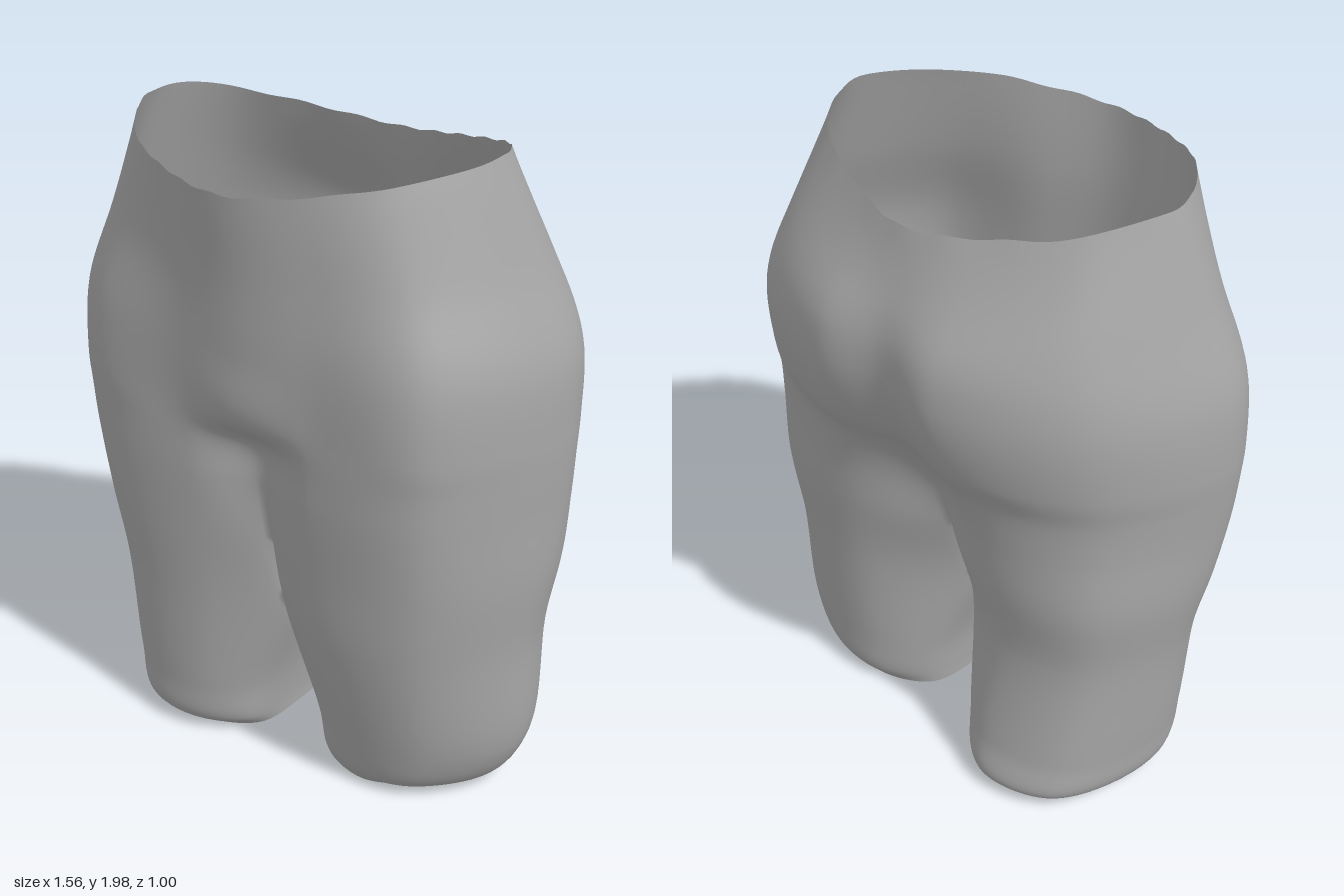
import * as THREE from 'three';
import { mergeVertices } from 'three/addons/utils/BufferGeometryUtils.js';

// height, half width, front z at centre and over the leg, back z over the leg and at centre
const LEVELS = [
  [0.02, 0.565, 0.18, 0.25, -0.255, -0.17],
  [0.07, 0.65, 0.2, 0.275, -0.29, -0.18],
  [0.2, 0.72, 0.21, 0.305, -0.3, -0.18],
  [0.56, 0.735, 0.23, 0.37, -0.32, -0.1],
  [0.8, 0.765, 0.29, 0.39, -0.35, -0.2],
  [1.0, 0.775, 0.33, 0.405, -0.37, -0.27],
  [1.13, 0.78, 0.35, 0.41, -0.4, -0.34],
  [1.24, 0.78, 0.44, 0.42, -0.455, -0.41],
  [1.45, 0.765, 0.455, 0.43, -0.5, -0.47],
  [1.7, 0.67, 0.47, 0.43, -0.46, -0.45],
  [1.99, 0.56, 0.5, 0.44, -0.32, -0.37],
];
const CROTCH_LEVEL = 3, SUB = 8, OUTER = 60, INNER = 16;
const CROTCH = LEVELS[CROTCH_LEVEL][0];
const COLS = OUTER + INNER + 1;
const LAST = (LEVELS.length - 1) * SUB, SPLIT = CROTCH_LEVEL * SUB;
const { smoothstep } = THREE.MathUtils;

// Section points: front centre, round the side to back centre, then the inner thigh
function sectionPoints([y, w, frontMid, front, back, backMid], right) {
  const gap = 0.1 * Math.max(0, 1 - (y / CROTCH) ** 2);
  const hip = smoothstep(y, 0.5, 1.1) * (1 - smoothstep(y, 1.5, 1.95));
  const frontCorner = Math.min(0.9, 0.75 + 2.5 * y) - 0.2 * smoothstep(y, 1.2, 1.99);
  const backCorner = 0.82 - 0.23 * smoothstep(y, 0.6, 1.4);
  // the body is turned a little, so the widest points differ in depth
  const points = [
    [1.3 * gap, frontMid],
    [0.22 + 0.08 * Math.max(0, 1 - y / CROTCH), front],
    [0.74 * w, frontCorner * front],
    [w, 0.03 + (right ? 0.1 : -0.08) * hip],
    [(0.83 + (right ? -0.03 : 0.03) * hip) * w, backCorner * back],
    [0.3 - 0.08 * smoothstep(y, 0.9, 1.45), back],
    [1.3 * gap, backMid],
    [gap, 0.03],
  ];
  return points.map(([x, z]) => {
    if (right) {
      // slimmer leg with a hem flared mostly to the back, and a wider waist
      const flare = y < 0.05 ? 0.13 : z > 0 ? 0.3 : 0.42;
      z *= 1 + flare * Math.max(0, 1 - y / 0.45);
      if (y > 0.1) x *= Math.min(1, 0.92 + 0.065 * y) + 0.06 * smoothstep(y, 1.5, 1.99);
    }
    return new THREE.Vector3(x, y, z);
  });
}

// One half of the garment: loft the section points upward, then round each section
function addHalf(right, out) {
  const sections = LEVELS.map((level) => sectionPoints(level, right));
  const columns = sections[0].map((_, k) => new THREE.CatmullRomCurve3(sections.map((s) => s[k])));
  const side = right ? -1 : 1;
  for (let i = 0; i <= LAST; i++) {
    const leg = i <= SPLIT;
    const pts = columns.map((c) => c.getPoint(i / LAST));
    const inner = pts.pop();
    // above the crotch the section turns gradually from pinched to flat at the seam
    const blend = smoothstep(i, SPLIT, SPLIT + 3 * SUB);
    const beyond = (p) => inner.clone().lerp(new THREE.Vector3(-p.x, p.y, p.z), blend);
    const loop = leg
      ? new THREE.CatmullRomCurve3([...pts, inner], true)
      : new THREE.CatmullRomCurve3([beyond(pts[1]), ...pts, beyond(pts[5])]);
    for (let j = 0; j < COLS; j++) {
      const around = Math.min(1, j / OUTER);
      const inside = Math.max(0, (j - OUTER) / INNER);
      const t = leg ? (0.75 * around + 0.25 * inside) % 1 : (1 + 6 * around) / 8;
      const p = loop.getPoint(t);
      // centre seam and crotch strip lie on the mid plane
      const onSeam = i >= SPLIT && (j === 0 || j >= OUTER);
      const x = onSeam ? 0 : side * Math.max(0, p.x);
      // waist rim dips at front and back
      const lift = smoothstep(p.y, 1.5, 1.99);
      const dip = (p.z > 0 ? 0.3 : 0.8) * p.z * p.z;
      let y = p.y + lift * (0.01 - dip);
      if (i === LAST) y += 0.003 * Math.sin(x * 47 + p.z * 31);
      out.push(x, y, p.z);
    }
  }
}

// Quads between two row limits, wound outward on either side
function quads(base, right, from, to, spans) {
  const idx = [];
  for (let i = from; i < to; i++) {
    for (let j = 0; j < spans; j++) {
      const a = base + i * COLS + j, b = a + 1, d = a + COLS, c = d + 1;
      if (right) idx.push(a, c, b, a, d, c);
      else idx.push(a, b, c, a, c, d);
    }
  }
  return idx;
}

export function createModel() {
  const group = new THREE.Group();
  group.name = 'shorts';
  const cloth = new THREE.MeshStandardMaterial({ color: 0xa6a6a6, side: THREE.DoubleSide });
  cloth.name = 'greyCloth';

  const positions = [];
  addHalf(false, positions);
  addHalf(true, positions);
  const base = (LAST + 1) * COLS;
  const parts = [
    ['hips', [...quads(0, false, SPLIT, LAST, OUTER), ...quads(base, true, SPLIT, LAST, OUTER)]],
    ['leftLeg', quads(0, false, 0, SPLIT, COLS - 1)],
    ['rightLeg', quads(base, true, 0, SPLIT, COLS - 1)],
  ];

  // Weld everything first so that shading runs smoothly across the parts
  let whole = new THREE.BufferGeometry();
  whole.setAttribute('position', new THREE.Float32BufferAttribute(positions, 3));
  whole.setIndex(parts.flatMap(([, idx]) => idx));
  whole = mergeVertices(whole, 1e-4);
  whole.computeVertexNormals();

  const welded = Array.from(whole.index.array);
  let start = 0;
  for (const [name, idx] of parts) {
    const geometry = new THREE.BufferGeometry();
    geometry.setAttribute('position', whole.attributes.position);
    geometry.setAttribute('normal', whole.attributes.normal);
    geometry.setIndex(welded.slice(start, start + idx.length));
    start += idx.length;
    const mesh = new THREE.Mesh(geometry, cloth);
    mesh.name = name;
    group.add(mesh);
  }
  return group;
}
